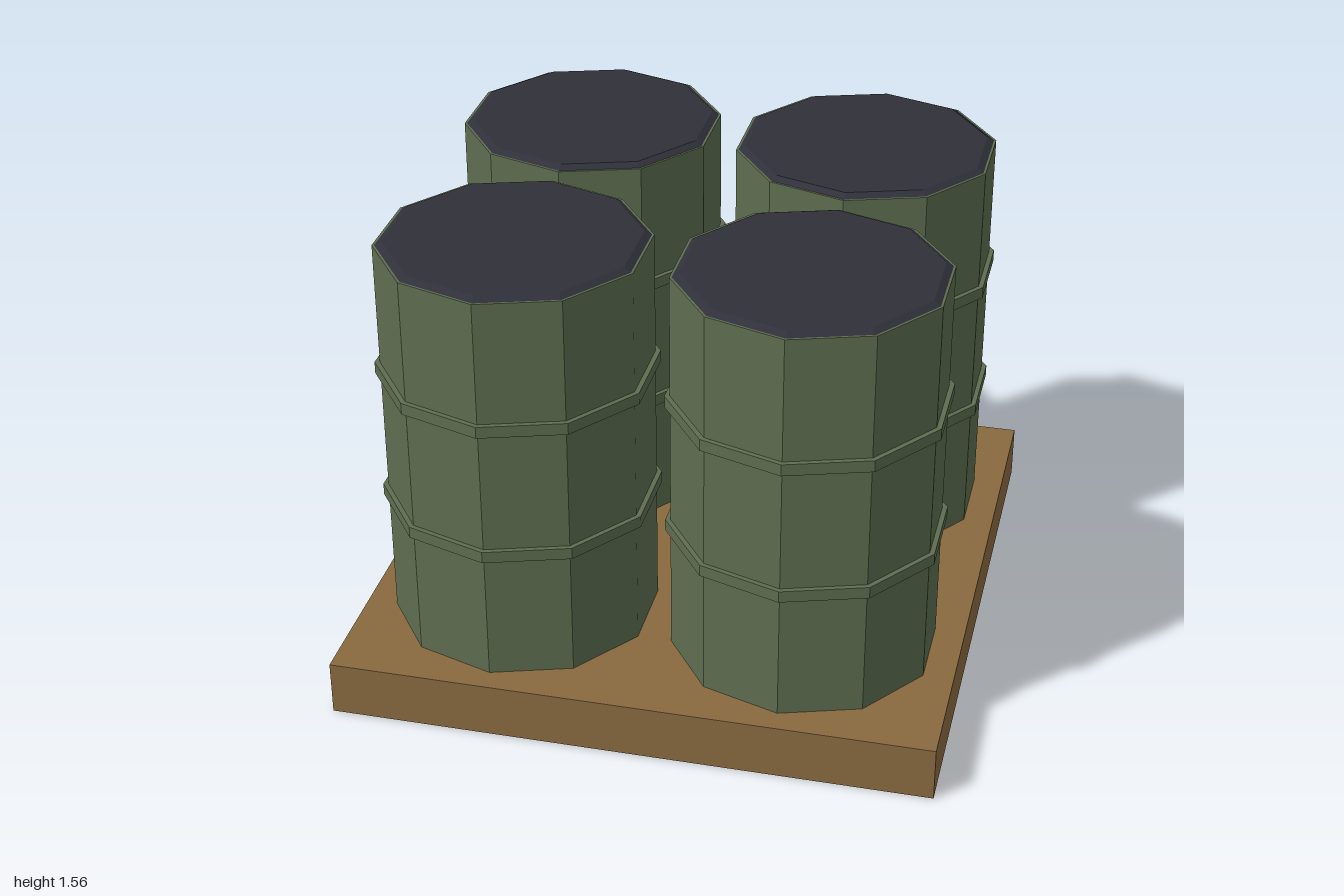
import * as THREE from 'three';

const SIDES = 10;

export function createModel() {
  const mat = (name, color) => {
    const m = new THREE.MeshStandardMaterial({ color });
    m.name = name;
    m.flatShading = true;
    return m;
  };
  const green = mat('drumGreen', 0x5e6e50);
  const dark = mat('lidDark', 0x30303a);
  const wood = mat('palletWood', 0x8a6a3f);

  const add = (parent, name, geometry, material, y) => {
    const mesh = new THREE.Mesh(geometry, material);
    mesh.name = name;
    mesh.position.y = y;
    parent.add(mesh);
  };

  const model = new THREE.Group();
  model.name = 'drumPallet';

  // Pallet slab
  add(model, 'pallet', new THREE.BoxGeometry(2, 0.186, 2), wood, 0.093);

  // Shared drum geometries
  const body = new THREE.CylinderGeometry(0.443, 0.443, 1.357, SIDES);
  const hoop = new THREE.CylinderGeometry(0.46, 0.46, 0.04, SIDES);
  const lid = new THREE.CylinderGeometry(0.412, 0.435, 0.014, SIDES);

  // Four drums, each with two hoops and a bevelled lid
  for (const x of [-0.478, 0.478]) {
    for (const z of [-0.478, 0.478]) {
      const drum = new THREE.Group();
      drum.name = `drum${z > 0 ? 'Front' : 'Back'}${x > 0 ? 'Left' : 'Right'}`;
      drum.position.set(x, 0, z);
      add(drum, 'body', body, green, 0.186 + 1.357 / 2);
      add(drum, 'lowerHoop', hoop, green, 0.645);
      add(drum, 'upperHoop', hoop, green, 1.105);
      add(drum, 'lid', lid, dark, 1.55);
      model.add(drum);
    }
  }
  return model;
}
